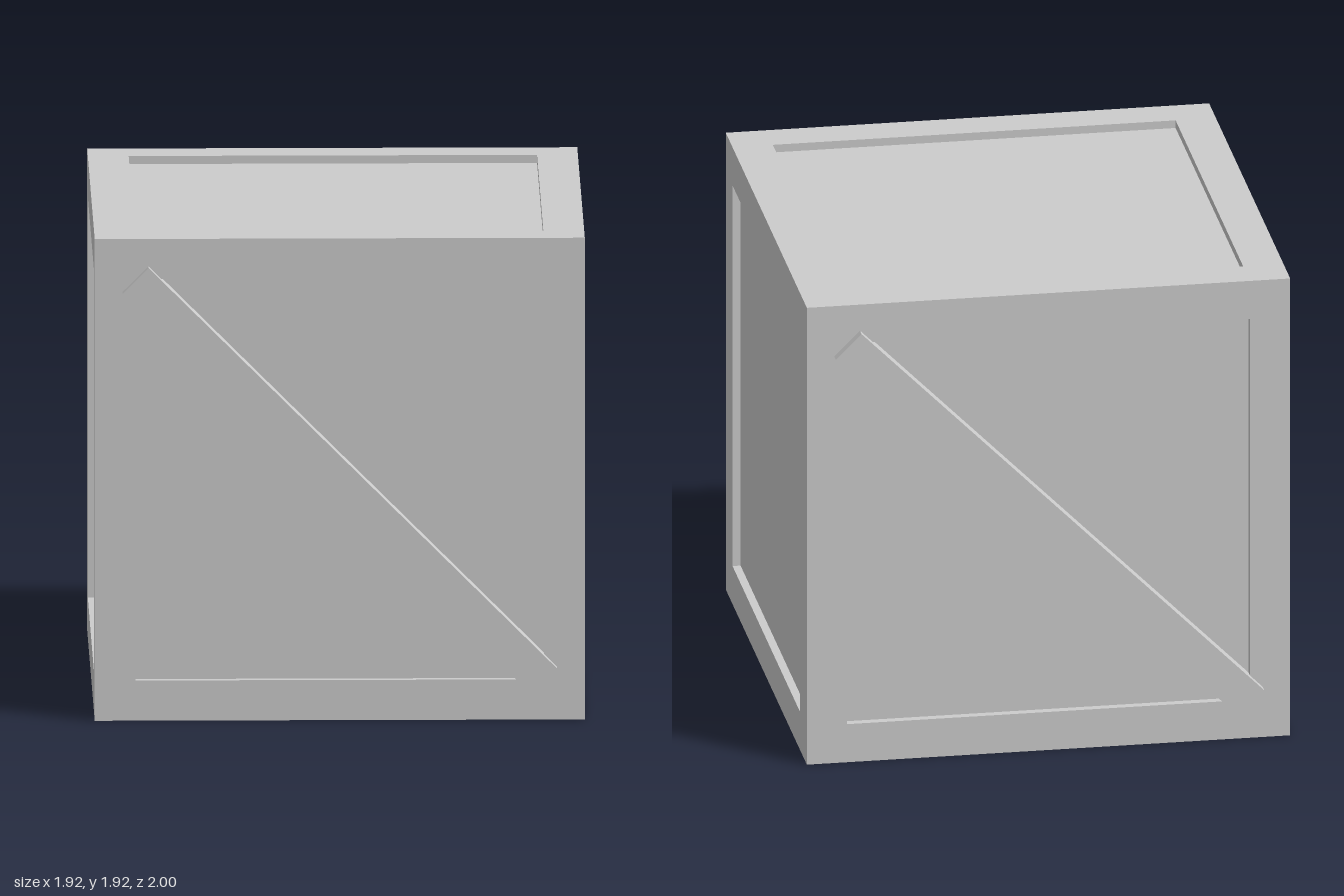
import * as THREE from 'three';

const HALF = 0.96;      // half the crate's edge
const OPENING = 0.8;    // half the opening inside each frame
const RECESS = 0.032;   // how deep the panels sit
const PROUD = 0.04;     // how far the braces stand out

export function createModel() {
  const crate = new THREE.Group();
  crate.name = 'crate';
  const material = new THREE.MeshStandardMaterial({ color: 0xcccccc, flatShading: true });

  const add = (parent, name, geometry) => {
    const mesh = new THREE.Mesh(geometry, material);
    mesh.name = name;
    parent.add(mesh);
    return mesh;
  };

  const square = (Type, h) => new Type([[-h, -h], [h, -h], [h, h], [-h, h]].map(([x, y]) => new THREE.Vector2(x, y)));
  const frameShape = square(THREE.Shape, HALF);
  frameShape.holes.push(square(THREE.Path, OPENING));
  const frameGeometry = new THREE.ShapeGeometry(frameShape);
  const panelGeometry = new THREE.PlaneGeometry(2 * OPENING, 2 * OPENING);

  // One side of the crate, facing +z: flat frame, recess walls and sunken panel
  const makeSide = (name, rotX, rotY, braced) => {
    const side = new THREE.Group();
    side.name = name;
    add(side, 'frame', frameGeometry).position.z = HALF;
    add(side, 'panel', panelGeometry).position.z = HALF - RECESS;
    for (let i = 0; i < 4; i++) {
      const wall = new THREE.PlaneGeometry(2 * OPENING, RECESS);
      wall.rotateX(-Math.PI / 2).translate(0, -OPENING, HALF - RECESS / 2).rotateZ(i * Math.PI / 2);
      add(side, 'recessWall', wall);
    }
    // Diagonal plank from upper left to lower right
    if (braced) {
      const brace = add(side, 'diagonalBrace', new THREE.BoxGeometry(2.263, 0.144, PROUD + RECESS));
      brace.position.z = HALF + (PROUD - RECESS) / 2;
      brace.rotation.z = -Math.PI / 4;
    }
    side.rotation.set(rotX, rotY, 0);
    side.position.y = HALF;
    crate.add(side);
  };

  makeSide('frontSide', 0, 0, true);
  makeSide('backSide', 0, Math.PI, true);
  makeSide('leftSide', 0, Math.PI / 2, false);
  makeSide('rightSide', 0, -Math.PI / 2, false);
  makeSide('topSide', -Math.PI / 2, 0, false);
  makeSide('bottomSide', Math.PI / 2, 0, false);

  return crate;
}
